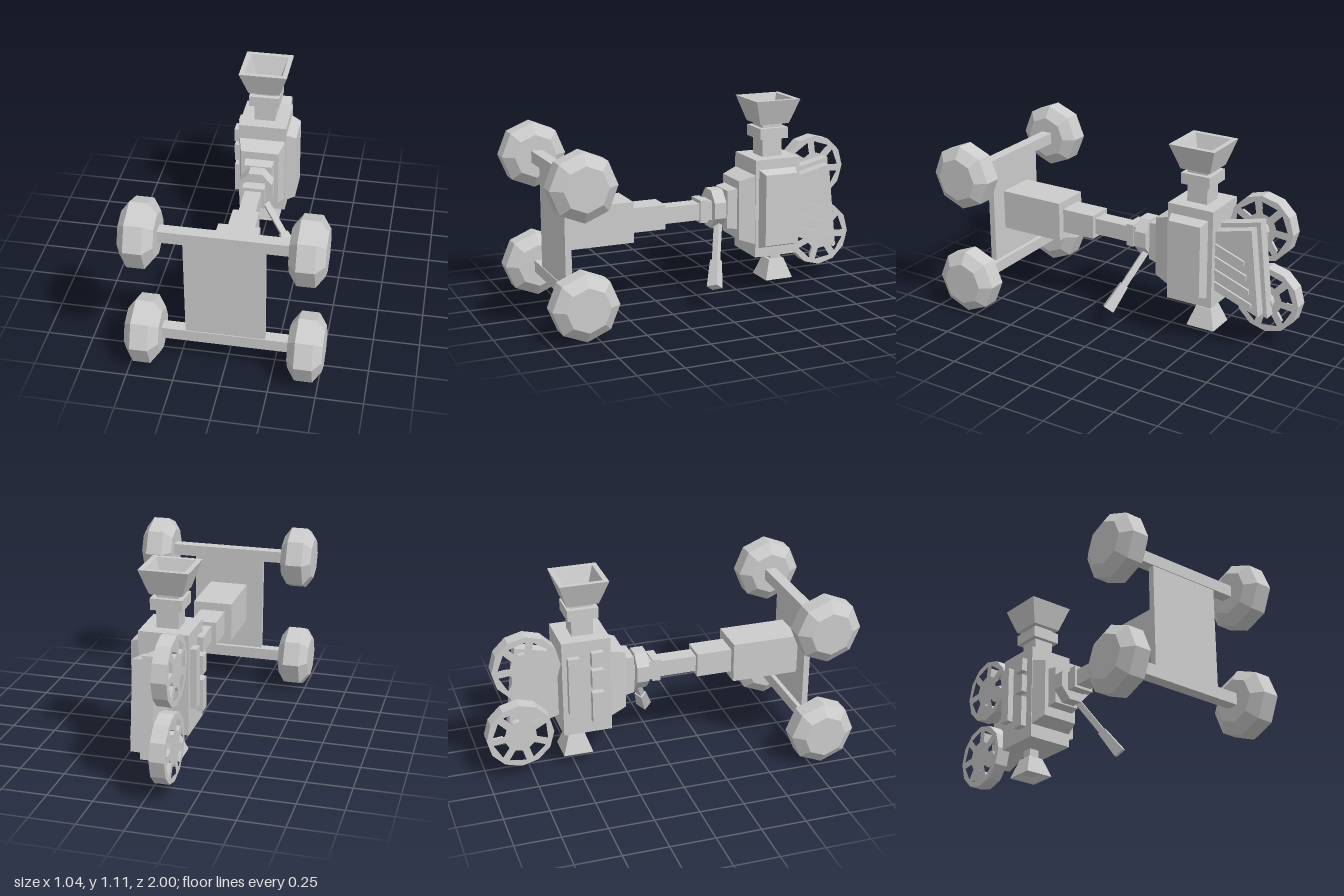
import * as THREE from 'three';

const material = new THREE.MeshStandardMaterial({ color: 0xcccccc, flatShading: true });

export function createModel() {
  const model = new THREE.Group();

  const add = (name, geometry, x = 0, y = 0, z = 0) => {
    const mesh = new THREE.Mesh(geometry, material);
    mesh.name = name;
    mesh.position.set(x, y, z);
    model.add(mesh);
    return mesh;
  };

  // Box given by its limits on each axis
  const block = (name, [x0, x1], [y0, y1], [z0, z1]) =>
    add(name, new THREE.BoxGeometry(x1 - x0, y1 - y0, z1 - z0), (x0 + x1) / 2, (y0 + y1) / 2, (z0 + z1) / 2);

  // Box that grows or shrinks along y, standing on y = 0
  const frustum = (w0, d0, w1, d1, h) => {
    const g = new THREE.BoxGeometry(1, h, 1).translate(0, h / 2, 0);
    const p = g.attributes.position;
    for (let i = 0; i < p.count; i++) {
      const top = p.getY(i) > h / 2;
      p.setX(i, p.getX(i) * (top ? w1 : w0));
      p.setZ(i, p.getZ(i) * (top ? d1 : d0));
    }
    g.computeVertexNormals();
    return g;
  };

  const lathe = (points, sides) =>
    new THREE.LatheGeometry(points.map(([r, y]) => new THREE.Vector2(r, y)), sides);

  // Square hollow hood: half-widths are turned into corner radii
  const hood = (points) => lathe(points.map(([r, y]) => [r * Math.SQRT2, y]), 4).rotateY(Math.PI / 4);

  // Outline drawn in (z, y), pushed from x = 0 towards -x
  const sidePlate = (shape, depth) =>
    new THREE.ExtrudeGeometry(shape, { depth, bevelEnabled: false }).rotateY(-Math.PI / 2);
  const polygon = (points, Type = THREE.Shape) => new Type(points.map(([a, b]) => new THREE.Vector2(a, b)));

  // Dolly: chamfered wheels, axles and base plate
  const wheel = lathe([[0, -0.091], [0.12, -0.091], [0.182, -0.047], [0.182, 0.047], [0.12, 0.091], [0, 0.091]], 8)
    .rotateZ(Math.PI / 2);
  for (const y of [0.184, 0.812]) {
    for (const side of [-1, 1]) add('wheel', wheel, side * 0.428, y, 0.818);
    block('axle', [-0.36, 0.36], [y - 0.033, y + 0.033], [0.78, 0.845]);
  }
  block('basePlate', [-0.21, 0.21], [0.2, 0.8], [0.805, 0.84]);

  // Telescoping column
  block('columnBase', [-0.113, 0.113], [0.39, 0.617], [0.42, 0.81]);
  block('columnMiddle', [-0.073, 0.073], [0.433, 0.57], [0.218, 0.43]);
  block('columnTop', [-0.047, 0.047], [0.455, 0.548], [-0.2, 0.23]);

  // Swivel head
  block('collar', [-0.062, 0.062], [0.44, 0.568], [-0.04, 0.004]);
  block('collarStep', [-0.054, 0.054], [0.45, 0.558], [-0.07, -0.035]);
  const head = new THREE.CylinderGeometry(1, 1, 0.07, 8).rotateY(Math.PI / 8).rotateX(Math.PI / 2);
  add('swivelHead', head.scale(0.102, 0.117, 1), 0, 0.507, -0.104);

  // Tapered mount between head and body
  add('mountSmall', frustum(0.155, 0.215, 0.17, 0.235, 0.07).rotateX(-Math.PI / 2), 0, 0.505, -0.152);
  add('mountLarge', frustum(0.215, 0.335, 0.262, 0.395, 0.09).rotateX(-Math.PI / 2), 0, 0.5, -0.21);

  // Pan handle with its grip
  const handle = new THREE.Group();
  handle.name = 'panHandle';
  const start = new THREE.Vector3(0.045, 0.42, -0.11);
  const span = new THREE.Vector3(0.255, 0.125, 0.005).sub(start);
  const length = span.length();
  const rod = new THREE.Mesh(new THREE.BoxGeometry(0.034, length * 0.6, 0.034), material);
  rod.name = 'handleRod';
  rod.position.y = length * 0.3;
  const grip = new THREE.Mesh(frustum(0.045, 0.05, 0.06, 0.065, length * 0.42), material);
  grip.name = 'handleGrip';
  grip.position.y = length * 0.58;
  handle.add(rod, grip);
  handle.position.copy(start);
  handle.quaternion.setFromUnitVectors(new THREE.Vector3(0, 1, 0), span.normalize());
  model.add(handle);

  // Camera body with raised door on one side and controls on the other
  block('body', [-0.135, 0.135], [0.225, 0.783], [-0.572, -0.3]);
  add('sideDoor', frustum(0.45, 0.225, 0.405, 0.19, 0.056).rotateZ(-Math.PI / 2), 0.134, 0.503, -0.432);
  block('controlStrip', [-0.17, -0.13], [0.37, 0.7], [-0.545, -0.48]);
  for (const range of [[0.64, 0.72], [0.51, 0.615], [0.3, 0.48]])
    block('controlButton', [-0.17, -0.13], range, [-0.415, -0.348]);

  // Lens pointing up with a square hood
  block('lensBarrel', [-0.06, 0.06], [0.77, 0.98], [-0.495, -0.375]);
  block('lensRing', [-0.086, 0.086], [0.885, 0.947], [-0.521, -0.349]);
  add('lensHood', hood([[0, 0.97], [0.088, 0.97], [0.135, 1.11], [0.107, 1.11], [0.07, 1.0], [0, 1.0]]), 0, 0, -0.435);

  // Eyepiece pointing down with a flared cup
  block('eyepieceTube', [-0.031, 0.031], [0.16, 0.235], [-0.513, -0.451]);
  add('eyepieceCup', hood([[0, 0.085], [0.045, 0.085], [0.068, 0.062], [0.084, 0.062], [0.046, 0.172], [0, 0.172]]), 0, 0, -0.48);

  // Film magazine: two stacked plates with slanted ribs
  const magazine = polygon([[-0.56, 0.686], [-0.802, 0.742], [-0.862, 0.2], [-0.56, 0.305]]);
  const cover = polygon([[-0.56, 0.66], [-0.78, 0.712], [-0.835, 0.225], [-0.56, 0.325]]);
  add('magazine', sidePlate(magazine, 0.065), 0.04);
  add('magazineCover', sidePlate(cover, 0.06), 0.1);
  for (let i = 0; i < 4; i++) {
    const y = 0.595 - i * 0.073, z = -0.745 - i * 0.017;
    const drop = (-0.575 - z) * 0.37;
    const rib = polygon([[-0.575, y], [z, y - drop], [z, y - drop - 0.026], [-0.575, y - 0.026]]);
    add('magazineRib', sidePlate(rib, 0.02), 0.112);
  }

  // Film reels: twelve-sided discs with seven windows
  const polar = (r, degrees) => {
    const a = THREE.MathUtils.degToRad(degrees);
    return [-r * Math.cos(a), r * Math.sin(a)];
  };
  const disc = polygon(Array.from({ length: 12 }, (_, i) => polar(0.187, i * 30)));
  for (let i = 0; i < 7; i++) {
    const a = 21 + (i * 360) / 7;
    disc.holes.push(polygon([polar(0.09, a - 13), polar(0.155, a - 18), polar(0.155, a + 18), polar(0.09, a + 13)], THREE.Path));
  }
  const reel = sidePlate(disc, 0.08);
  const pin = new THREE.CylinderGeometry(0.05, 0.05, 0.05, 12).rotateZ(Math.PI / 2);
  for (const [y, z] of [[0.665, -0.763], [0.262, -0.812]]) {
    add('filmReel', reel, -0.049, y, z);
    add('reelPin', pin, -0.038, y, z);
  }

  return model;
}
